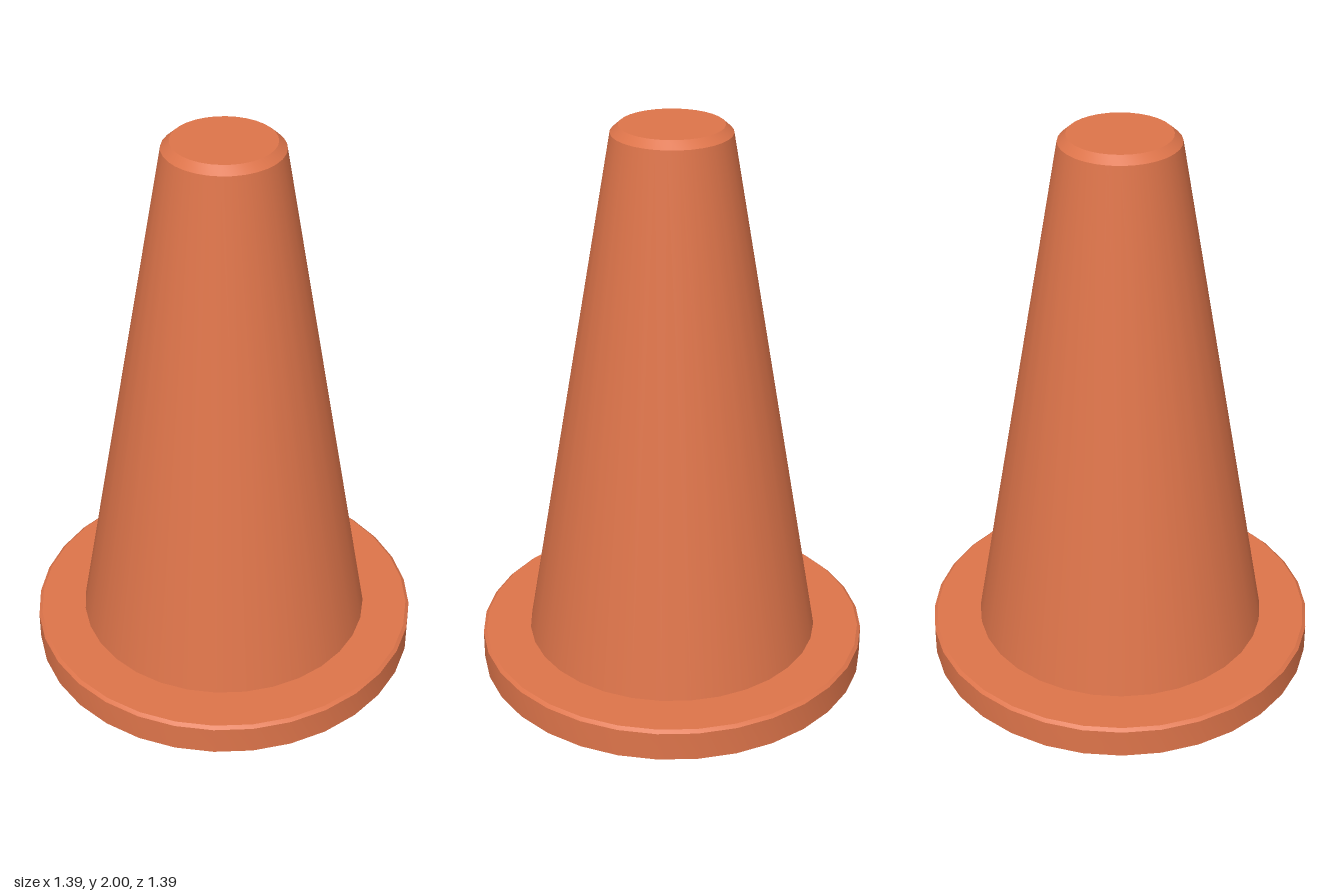
import * as THREE from 'three';
import { toCreasedNormals } from 'three/addons/utils/BufferGeometryUtils.js';

const SEGMENTS = 32;

// Turned solid from [radius, height] pairs, bottom to top, with sharp rims
function turned(name, profile, material) {
  const points = profile.map(([r, y]) => new THREE.Vector2(r, y));
  const geometry = toCreasedNormals(new THREE.LatheGeometry(points, SEGMENTS), 0.4);
  const mesh = new THREE.Mesh(geometry, material);
  mesh.name = name;
  return mesh;
}

export function createModel() {
  const group = new THREE.Group();
  group.name = 'trafficCone';
  const orange = new THREE.MeshStandardMaterial({ color: 0xdd744a });

  // Round base plate with a small chamfer on its upper rim
  group.add(turned('base', [[0, 0], [0.695, 0], [0.695, 0.105], [0.683, 0.115], [0, 0.115]], orange));

  // Tapered body with a chamfered flat top
  group.add(turned('coneBody', [[0.522, 0.115], [0.202, 1.975], [0.174, 2], [0, 2]], orange));

  return group;
}
